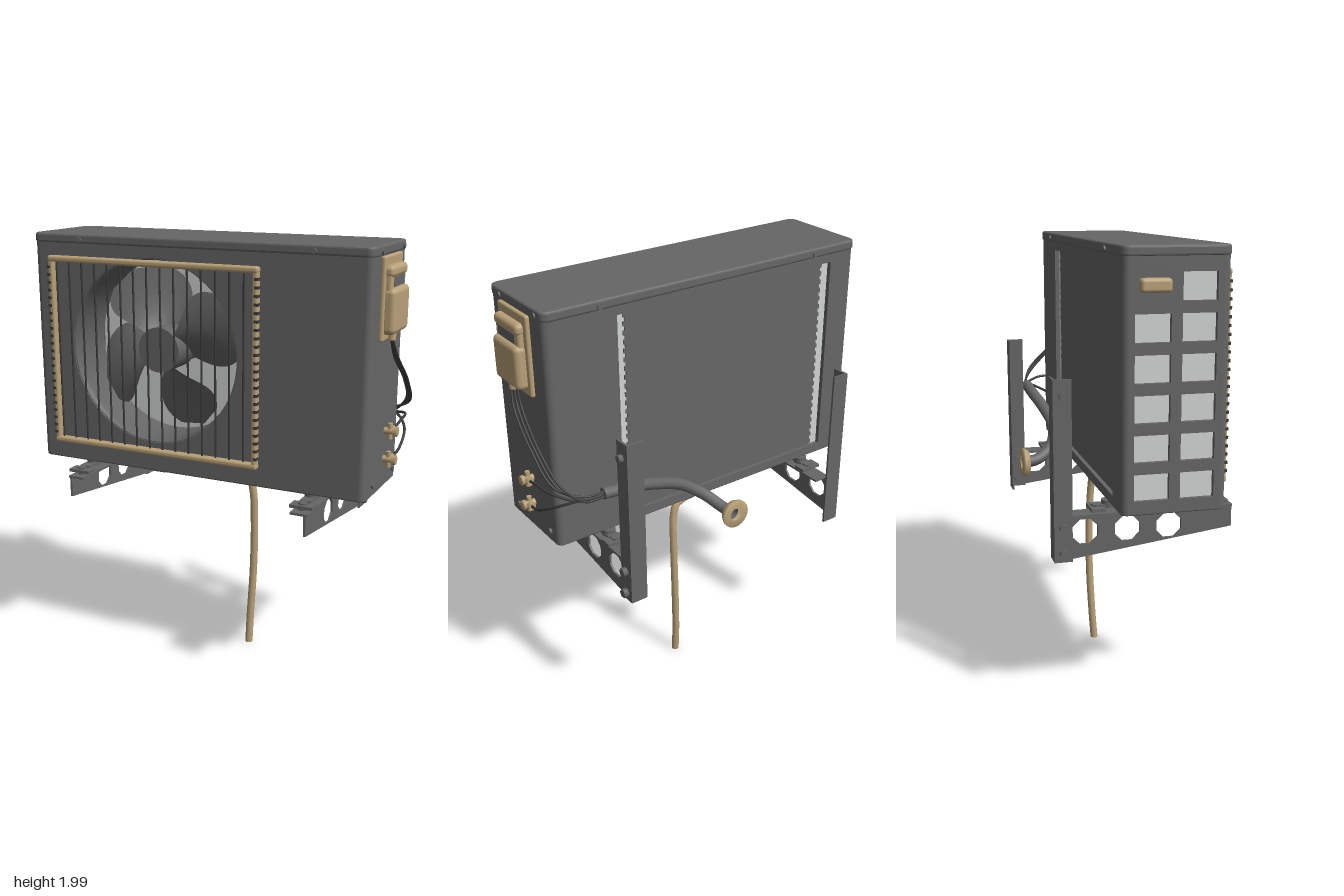
import * as THREE from 'three';
import { RoundedBoxGeometry } from 'three/addons/geometries/RoundedBoxGeometry.js';

const mat = (name, color, side = THREE.FrontSide) => {
  const m = new THREE.MeshStandardMaterial({ color, side });
  m.name = name;
  return m;
};

export function createModel() {
  const grey = mat('casing grey', 0x666667, THREE.DoubleSide);
  const tan = mat('tan plastic', 0xb9a179);
  const light = mat('light coil', 0xd2d4d4);
  const dark = mat('dark wire', 0x3c3c3c);

  const model = new THREE.Group();
  model.name = 'outdoorAirUnit';
  const add = (name, geo, m, x = 0, y = 0, z = 0, parent = model) => {
    const mesh = new THREE.Mesh(geo, m);
    mesh.name = name;
    mesh.position.set(x, y, z);
    parent.add(mesh);
    return mesh;
  };
  // boxes given by their centre and size
  const box = (name, m, x, y, z, w, h, d, parent) =>
    add(name, new THREE.BoxGeometry(w, h, d), m, x, y, z, parent);
  const soft = (name, m, x, y, z, w, h, d, r, parent) =>
    add(name, new RoundedBoxGeometry(w, h, d, 3, r), m, x, y, z, parent);
  const rod = (name, m, axis, x, y, z, r, len, sides = 16, parent = model) => {
    const g = new THREE.CylinderGeometry(r, r, len, sides);
    if (axis === 'x') g.rotateZ(Math.PI / 2);
    if (axis === 'z') g.rotateX(Math.PI / 2);
    return add(name, g, m, x, y, z, parent);
  };
  const tube = (name, m, r, pts) => {
    const curve = new THREE.CatmullRomCurve3(pts.map(p => new THREE.Vector3(...p)));
    return add(name, new THREE.TubeGeometry(curve, 40, r, 10), m);
  };
  const poly = (pts, C = THREE.Path) => new C(pts.map(p => new THREE.Vector2(...p)));
  const rect = (x0, x1, y0, y1, C) => poly([[x0, y0], [x1, y0], [x1, y1], [x0, y1]], C);
  const plate = (shape, holes, depth) => {
    shape.holes.push(...holes);
    return new THREE.ExtrudeGeometry(shape, { depth, bevelEnabled: false, curveSegments: 40 });
  };
  // horizontal slab with rounded corners and softened rims
  const slab = (name, x0, x1, z0, z1, y0, y1, r, b) => {
    const s = new THREE.Shape();
    const [l, t, f, k] = [x0 + b, x1 - b, -z1 + b, -z0 - b];
    s.absarc(t - r, f + r, r, -Math.PI / 2, 0);
    s.absarc(t - r, k - r, r, 0, Math.PI / 2);
    s.absarc(l + r, k - r, r, Math.PI / 2, Math.PI);
    s.absarc(l + r, f + r, r, Math.PI, Math.PI * 1.5);
    const g = new THREE.ExtrudeGeometry(s, {
      depth: y1 - y0 - 2 * b, bevelSize: b, bevelThickness: b, bevelSegments: 3, curveSegments: 6,
    });
    g.rotateX(-Math.PI / 2);
    return add(name, g, grey, 0, y0 + b, 0);
  };

  // casing
  const X0 = -0.82, X1 = 0.79, Z0 = -0.145, Z1 = 0.29, R = 0.03, Y0 = 0.965, Y1 = 1.965;
  const fanX = -0.21, fanY = 1.5;
  slab('basePan', X0, X1, Z0, Z1, 0.948, 0.99, 0.025, 0.006);
  slab('lid', X0 - 0.004, X1 + 0.004, Z0 - 0.005, Z1 + 0.004, 1.957, 2.0, 0.025, 0.01);
  const fanHole = new THREE.Path();
  fanHole.absarc(fanX, fanY, 0.41, 0, Math.PI * 2);
  add('frontPanel', plate(rect(X0 + R, X1 - R, Y0, Y1, THREE.Shape), [fanHole], 0.02), grey, 0, 0, Z1 - 0.02);
  add('backPanel', plate(rect(X0 + R, X1 - R, Y0, Y1, THREE.Shape), [rect(-0.68, 0.46, 0.995, 1.92)], 0.02), grey, 0, 0, Z0);
  box('rightWall', grey, X1 - 0.01, (Y0 + Y1) / 2, (Z0 + Z1) / 2, 0.02, Y1 - Y0, Z1 - Z0 - 2 * R);
  const vents = [];
  for (let i = 0; i < 6; i++) {
    const y = 1.845 - 0.157 * i;
    vents.push(rect(0.095, 0.235, y - 0.055, y + 0.055));
    if (i) vents.push(rect(-0.095, 0.05, y - 0.055, y + 0.055));
  }
  const ventWall = plate(rect(Z0 + R, Z1 - R, Y0, Y1, THREE.Shape), vents, 0.02);
  add('ventWall', ventWall.rotateY(-Math.PI / 2), grey, X0 + 0.02);
  [[X1 - R, Z1 - R], [X1 - R, Z0 + R], [X0 + R, Z0 + R], [X0 + R, Z1 - R]].forEach(([x, z], i) => {
    const start = [0, 1, 2, 3][i] * Math.PI / 2;
    add('cornerPost', new THREE.CylinderGeometry(R, R, Y1 - Y0, 8, 1, true, start, Math.PI / 2),
      grey, x, (Y0 + Y1) / 2, z);
  });
  soft('sideHandle', tan, -0.835, 1.852, -0.02, 0.05, 0.055, 0.125, 0.015);

  // lid and casing screws
  for (const x of [-0.575, 0.54]) {
    rod('lidScrew', grey, 'z', x, 1.975, Z1 + 0.004, 0.012, 0.014);
    rod('lidScrew', grey, 'z', x, 1.975, Z0 - 0.006, 0.012, 0.014);
  }
  for (const [y, z] of [[1.975, 0.2], [1.975, -0.09], [1, 0.2], [1, -0.08]])
    rod('sideScrew', grey, 'x', X1 + 0.003, y, z, 0.012, 0.016);

  // heat exchanger, with a dark face at the rear and light fins at its edges
  box('coil', light, -0.11, 1.46, -0.112, 1.2, 0.96, 0.02);
  box('coilSide', light, -0.78, 1.46, 0.07, 0.012, 0.96, 0.36);
  box('coilBackFace', grey, -0.11, 1.46, -0.124, 1.05, 0.95, 0.006);
  for (let i = 0; i < 24; i++)
    for (const x of [-0.637, 0.417])
      box('coilFin', grey, x, 1.01 + i * 0.039, -0.124, 0.012, 0.02, 0.006);

  // fan shroud
  const shroud = new THREE.LatheGeometry(
    [[0.416, 0.292], [0.408, 0.283], [0.402, 0.26], [0.4, 0.06]].map(p => new THREE.Vector2(...p)), 48);
  add('fanShroud', shroud.rotateX(Math.PI / 2), grey, fanX, fanY, 0);

  // fan: four swept and pitched blades around a hub
  const fan = new THREE.Group();
  fan.name = 'fan';
  fan.position.set(fanX, fanY, 0.16);
  model.add(fan);
  rod('fanHub', grey, 'z', 0, 0, 0, 0.102, 0.16, 32, fan);
  rod('motor', grey, 'z', 0, 0, -0.15, 0.09, 0.2, 24, fan);
  for (let k = 0; k < 4; k++) {
    const g = new THREE.PlaneGeometry(1, 1, 14, 14);
    const p = g.attributes.position;
    for (let i = 0; i < p.count; i++) {
      const t = p.getX(i) * 2, u = p.getY(i) + 0.5;
      const r = 0.085 + 0.3 * u;
      const half = 0.68 * Math.sqrt(Math.max(0, 1 - u ** 5)) * (0.9 + 0.12 * Math.sin(u * Math.PI));
      const a = 0.14 + 0.34 * u + t * half;
      p.setXYZ(i, r * Math.cos(a), r * Math.sin(a), 0.07 * t * half / 0.6 - 0.02 * u);
    }
    g.computeVertexNormals();
    add('fanBlade', g, grey, 0, 0, 0, fan).rotation.z = k * Math.PI / 2;
  }

  // fan guard
  const guard = new THREE.Group();
  guard.name = 'fanGuard';
  model.add(guard);
  for (const y of [1.89, 1.047]) soft('guardRail', tan, fanX, y, 0.309, 1.04, 0.028, 0.038, 0.011, guard);
  for (const [x, s] of [[-0.716, -1], [0.296, 1]]) {
    soft('guardPost', tan, x, 1.468, 0.308, 0.026, 0.84, 0.034, 0.009, guard);
    for (let i = 0; i < 23; i++)
      box('guardNotch', dark, x + s * 0.007, 1.083 + i * 0.035, 0.315, 0.018, 0.012, 0.024, guard);
  }
  for (let i = 0; i < 15; i++) rod('guardWire', dark, 'y', -0.69 + 0.0665 * i, 1.468, 0.31, 0.0045, 0.83, 6, guard);

  // electrical cover
  soft('coverPlate', tan, 0.797, 1.785, 0.08, 0.022, 0.345, 0.24, 0.009);
  soft('coverTop', tan, 0.815, 1.895, 0.085, 0.05, 0.05, 0.2, 0.02);
  soft('coverBody', tan, 0.82, 1.735, 0.085, 0.065, 0.19, 0.205, 0.024);
  soft('coverNeck', tan, 0.812, 1.85, 0.085, 0.04, 0.09, 0.195, 0.014);
  box('coverWindow', grey, 0.831, 1.853, 0.085, 0.006, 0.04, 0.14);
  rod('cableGland', tan, 'y', 0.817, 1.63, 0.1, 0.018, 0.04);

  // cables and thin pipes running into the insulated bundle
  for (let i = 0; i < 3; i++) {
    const d = (i - 1) * 0.012;
    tube('cable', dark, 0.005, [[0.815 + d / 2, 1.63, 0.1 + d], [0.825 + d, 1.54, 0.06 + d],
      [0.835 + d, 1.4, -0.09 + d], [0.81 + d, 1.28, -0.215 + d], [0.72, 1.22 + d, -0.262], [0.6, 1.22 + d, -0.27]]);
  }
  for (const [y, z] of [[1.205, 0.05], [1.08, 0.055]]) {
    rod('valveBody', tan, 'x', 0.815, y, z, 0.015, 0.07);
    rod('valveCap', tan, 'x', 0.84, y, z, 0.022, 0.018, 6);
    rod('valveStem', tan, 'y', 0.815, y, z, 0.011, 0.07);
    rod('valveNut', tan, 'z', 0.82, y, z - 0.02, 0.018, 0.035, 6);
    tube('valvePipe', dark, 0.006, [[0.82, y, z - 0.02], [0.83, y + 0.025, -0.05],
      [0.815, 1.17 + (y - 1.08) * 0.5, -0.17], [0.74, 1.215, -0.25], [0.6, 1.22, -0.27]]);
  }
  tube('pipeBundle', grey, 0.027, [[0.63, 1.222, -0.268], [0.5, 1.205, -0.262], [0.36, 1.16, -0.235],
    [0.2, 1.09, -0.215], [0.1, 1.02, -0.25], [0.055, 0.975, -0.32], [0.04, 0.965, -0.39]]);
  rod('bundleEnd', grey, 'x', 0.63, 1.222, -0.268, 0.026, 0.01);
  const flange = new THREE.LatheGeometry(
    [[0.027, -0.02], [0.055, -0.02], [0.066, 0.0], [0.066, 0.014], [0.03, 0.014]].map(p => new THREE.Vector2(...p)), 24);
  add('wallFlange', flange.rotateX(-Math.PI / 2), tan, 0.036, 0.967, -0.386).material.side = THREE.DoubleSide;

  // drain elbow and hose
  add('drainCup', new THREE.CylinderGeometry(0.055, 0.04, 0.025, 20), tan, 0.0, 0.935, -0.04);
  tube('drainElbow', tan, 0.022, [[-0.01, 0.93, -0.04], [0.02, 0.9, -0.04], [0.07, 0.893, -0.04], [0.1, 0.88, -0.04]]);
  tube('drainHose', tan, 0.018, [[0.06, 0.895, -0.04], [0.108, 0.875, -0.042], [0.13, 0.81, -0.045],
    [0.136, 0.65, -0.053], [0.132, 0.4, -0.055], [0.122, 0.15, -0.045], [0.12, 0.01, -0.035]]);
  rod('hoseEnd', tan, 'y', 0.12, 0.014, -0.035, 0.017, 0.012);

  // wall brackets: angle post, tapered arm with octagonal holes, feet and bolts
  for (const [cx, s] of [[-0.573, -1], [0.54, 1]]) {
    const b = new THREE.Group();
    b.name = 'wallBracket';
    b.position.x = cx;
    model.add(b);
    box('postBack', grey, 0, 1.085, -0.37, 0.08, 0.77, 0.01, b);
    box('postSide', grey, s * 0.035, 1.085, -0.335, 0.01, 0.77, 0.075, b);
    const holes = [0.12, -0.062, -0.243].map(z => poly([...Array(8)].map((_, i) => {
      const a = (i + 0.5) * Math.PI / 4;
      return [z + 0.058 * Math.cos(a), 0.826 + 0.058 * Math.sin(a)];
    })));
    const arm = plate(poly([[0.4, 0.8], [0.4, 0.9], [-0.36, 0.9], [-0.36, 0.702]], THREE.Shape), holes, 0.01);
    add('armSide', arm.rotateY(-Math.PI / 2), grey, s * 0.028 + 0.005, 0, 0, b);
    box('armTop', grey, 0, 0.895, 0.05, 0.08, 0.01, 0.7, b);
    box('footRail', grey, 0, 0.928, 0.075, 0.05, 0.01, 0.5, b);
    for (const z of [0.345, -0.19]) {
      box('footPlate', grey, 0, 0.918, z, 0.105, 0.014, 0.06, b);
      rod('footBolt', grey, 'y', 0, 0.908, z, 0.022, 0.05, 6, b);
      rod('footPad', grey, 'y', 0, 0.935, z * 0.72, 0.03, 0.03, 12, b);
    }
    for (const y of [0.848, 0.738]) {
      rod('bracketBolt', grey, 'x', s * 0.048, y, -0.335, 0.021, 0.028, 6, b);
      rod('bracketNut', grey, 'x', s * 0.016, y, -0.335, 0.018, 0.02, 6, b);
    }
    rod('wallBolt', grey, 'x', s * 0.048, 1.4, -0.335, 0.018, 0.024, 6, b);
  }
  return model;
}
